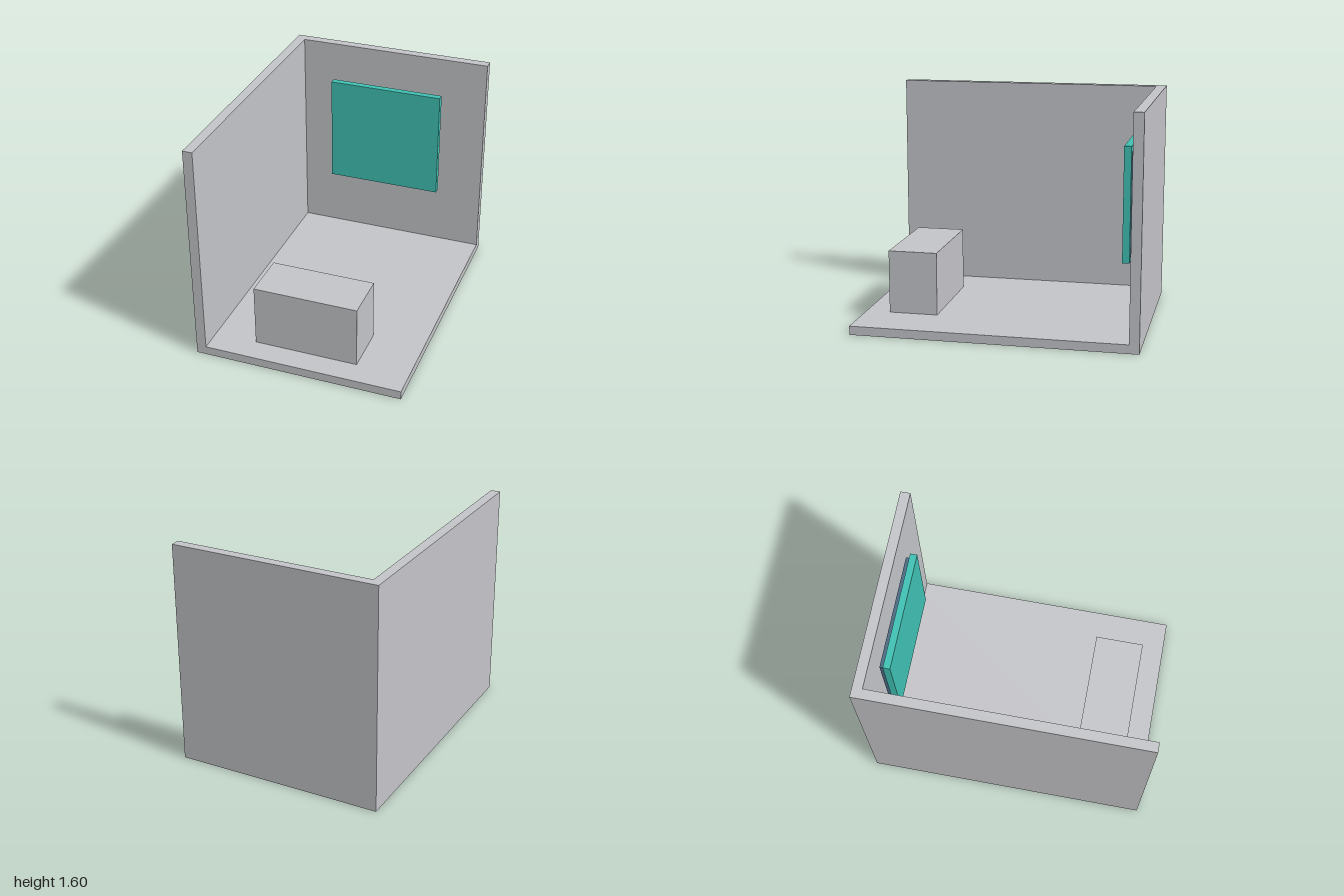
import * as THREE from 'three';

const material = (name, color) => {
  const m = new THREE.MeshStandardMaterial({ color });
  m.name = name;
  return m;
};

// Box given by its extents along each axis
function block(name, mat, [x0, x1], [y0, y1], [z0, z1]) {
  const mesh = new THREE.Mesh(new THREE.BoxGeometry(x1 - x0, y1 - y0, z1 - z0), mat);
  mesh.position.set((x0 + x1) / 2, (y0 + y1) / 2, (z0 + z1) / 2);
  mesh.name = name;
  return mesh;
}

export function createModel() {
  const grey = material('light grey', 0xc4c5c9);
  const teal = material('teal', 0x40c1b4);
  const slate = material('slate blue', 0x4a6982);

  const W = 0.75, D = 1, H = 1.6; // half width, half depth, height
  const floorTop = 0.0625, wall = 0.07;

  const group = new THREE.Group();
  group.name = 'roomCorner';
  group.add(
    // Open room: floor and two walls meeting in the back corner
    block('floor', grey, [-W, W], [0, floorTop], [-D, D]),
    block('sideWall', grey, [-W, -W + wall], [floorTop, H], [-D, D]),
    block('backWall', grey, [-W + wall, W], [floorTop, H], [-D, -D + wall]),
    // Bench standing near the front edge
    block('bench', grey, [-0.375, 0.375], [floorTop, 0.5125], [0.478, 0.827]),
    // Wall panel with its backing, held just off the wall
    block('panelBacking', slate, [-0.4125, 0.4125], [0.57, 1.285], [-0.915, -0.885]),
    block('panel', teal, [-0.4275, 0.4275], [0.5275, 1.3275], [-0.885, -0.835])
  );
  return group;
}
